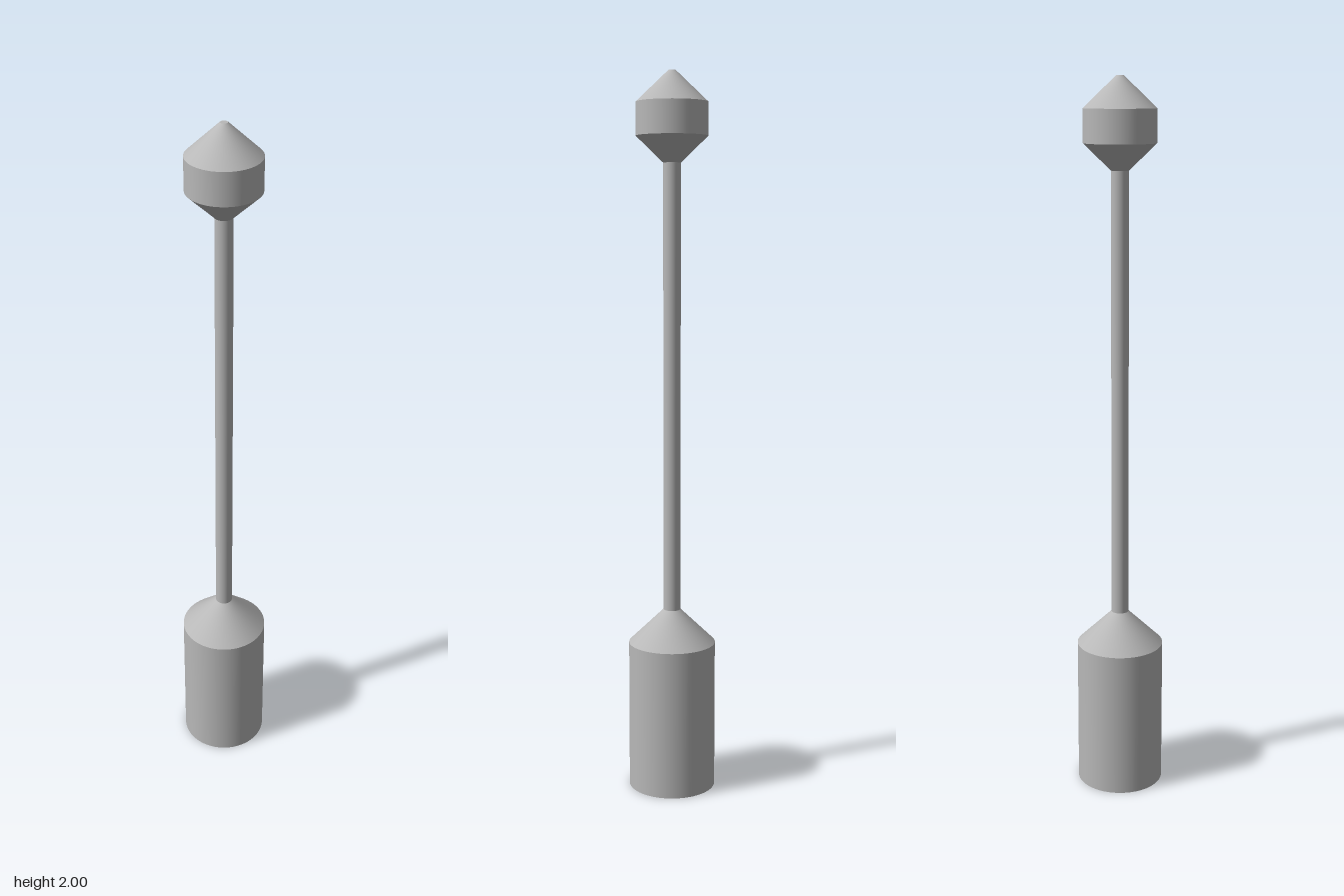
import * as THREE from 'three';

const SIDES = 64;

export function createModel() {
  const model = new THREE.Group();
  const grey = new THREE.MeshStandardMaterial({ color: 0xb8b8b8 });
  grey.name = 'grey';

  // One turned section between two heights; capped only where an end is exposed
  const section = (name, bottomRadius, topRadius, y0, y1) => {
    const geometry = new THREE.CylinderGeometry(topRadius, bottomRadius, y1 - y0, SIDES, 1, true);
    const mesh = new THREE.Mesh(geometry, grey);
    mesh.name = name;
    mesh.position.y = (y0 + y1) / 2;
    model.add(mesh);
  };
  const cap = (name, radius, y, facing) => {
    const mesh = new THREE.Mesh(new THREE.CircleGeometry(radius, SIDES), grey);
    mesh.name = name;
    mesh.rotation.x = -facing * Math.PI / 2;
    mesh.position.y = y;
    model.add(mesh);
  };

  // Weighted base with sloping shoulder
  cap('baseUnderside', 0.122, 0, -1);
  section('base', 0.122, 0.122, 0, 0.42);
  section('baseShoulder', 0.122, 0.024, 0.42, 0.515);

  // Slender stem
  section('stem', 0.024, 0.024, 0.515, 1.757);

  // Head: flared neck, straight band and blunt pointed tip
  section('headNeck', 0.024, 0.098, 1.757, 1.828);
  section('headBand', 0.098, 0.098, 1.828, 1.917);
  section('headTip', 0.098, 0.01, 1.917, 2);
  cap('tipFlat', 0.01, 2, 1);

  return model;
}
